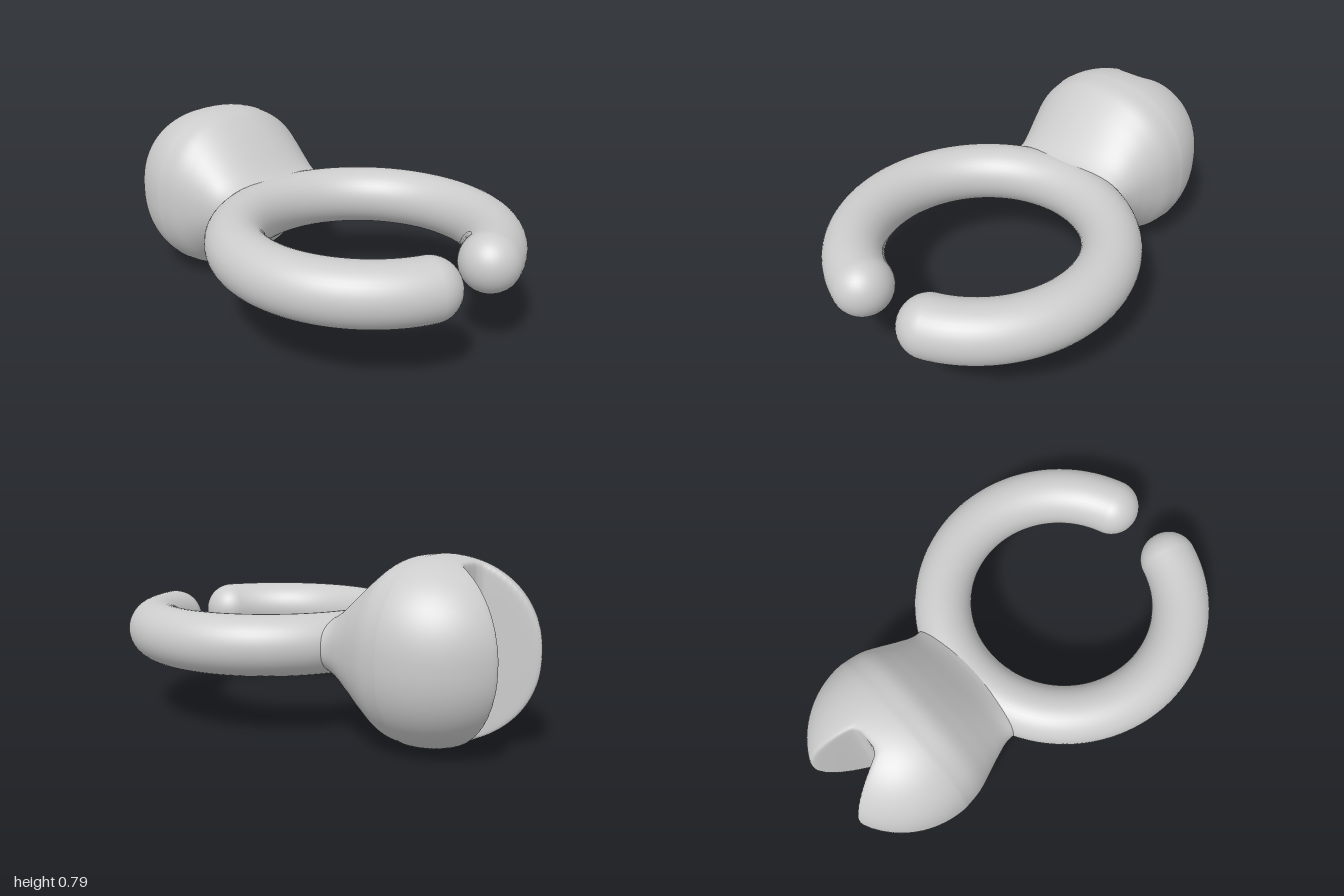
import * as THREE from 'three';
import { mergeVertices } from 'three/addons/utils/BufferGeometryUtils.js';

const CY = 0.397;                                  // height of the middle plane
const RING = { z: 0.335, radius: 0.555, tube: 0.132, halfGap: 0.35 };
const HEAD = { z: -0.63, a: 0.415, b: 0.397, c: 0.42 };

const material = new THREE.MeshStandardMaterial({ color: 0xcccccc });

// Neck sections from the widest part of the head to inside the ring: half width, half height, z
const neck = new THREE.CatmullRomCurve3([
  [HEAD.a, HEAD.b, HEAD.z], [0.402, 0.383, -0.54], [0.375, 0.33, -0.46], [0.345, 0.26, -0.38],
  [0.322, 0.185, -0.3], [0.325, 0.145, -0.25], [0.33, 0.115, -0.2], [0, 0, -0.17],
].map((p) => new THREE.Vector3(...p)));

// Groove depth across the head: |x|, z
const groove = [[0, -0.777], [0.04, -0.779], [0.07, -0.795], [0.09, -0.84], [0.12, -0.92], [0.15, -1.0], [0.2, -1.16], [0.5, -2.2]];

function grooveZ(x) {
  const i = Math.max(1, groove.findIndex((p) => p[0] > x));
  const [x0, z0] = groove[i - 1], [x1, z1] = groove[i];
  return z0 + (z1 - z0) * (x - x0) / (x1 - x0);
}

const smoothMax = (a, b, k) => (a + b + Math.sqrt((a - b) ** 2 + k * k)) / 2;

// Slightly squared ball, tapering forward into the neck and notched at the back
function headGeometry() {
  let g = new THREE.SphereGeometry(1, 160, 160).rotateZ(Math.PI / 2);
  g.deleteAttribute('uv');
  g.deleteAttribute('normal');
  g = mergeVertices(g, 1e-5);
  const pos = g.attributes.position;
  const power = 2.25;
  for (let i = 0; i < pos.count; i++) {
    const X = pos.getX(i), Y = pos.getY(i), Z = THREE.MathUtils.clamp(pos.getZ(i), -1, 1);
    const r = Math.hypot(X, Y);
    const u = r > 1e-6 ? X / r : 0;
    const v = r > 1e-6 ? Math.sign(Y) * Math.pow(Math.max(0, 1 - Math.abs(u) ** power), 1 / power) : 0;
    if (Z > 0) {
      const s = neck.getPoint(Math.asin(Z) / (Math.PI / 2));
      pos.setXYZ(i, u * s.x, v * s.y, s.z);
    } else {
      const x = u * r * HEAD.a;
      pos.setXYZ(i, x, v * r * HEAD.b, smoothMax(HEAD.z + Z * HEAD.c, grooveZ(Math.abs(x)), 0.022));
    }
  }
  g.computeVertexNormals();
  return g;
}

export function createModel() {
  const model = new THREE.Group();
  const add = (name, geometry, x, y, z) => {
    const mesh = new THREE.Mesh(geometry, material);
    mesh.name = name;
    mesh.position.set(x, y, z);
    model.add(mesh);
  };

  // Open ring with its gap at the front
  const ring = new THREE.TorusGeometry(RING.radius, RING.tube, 40, 128, 2 * Math.PI - 2 * RING.halfGap)
    .rotateZ(Math.PI / 2 + RING.halfGap)
    .rotateX(Math.PI / 2);
  add('openRing', ring, 0, CY, RING.z);

  // Rounded tips on both ends of the ring
  for (const side of [1, -1]) {
    add(side > 0 ? 'leftRingTip' : 'rightRingTip', new THREE.SphereGeometry(RING.tube, 40, 28),
      side * RING.radius * Math.sin(RING.halfGap), CY, RING.z + RING.radius * Math.cos(RING.halfGap));
  }

  add('notchedHead', headGeometry(), 0, CY, 0);
  return model;
}
